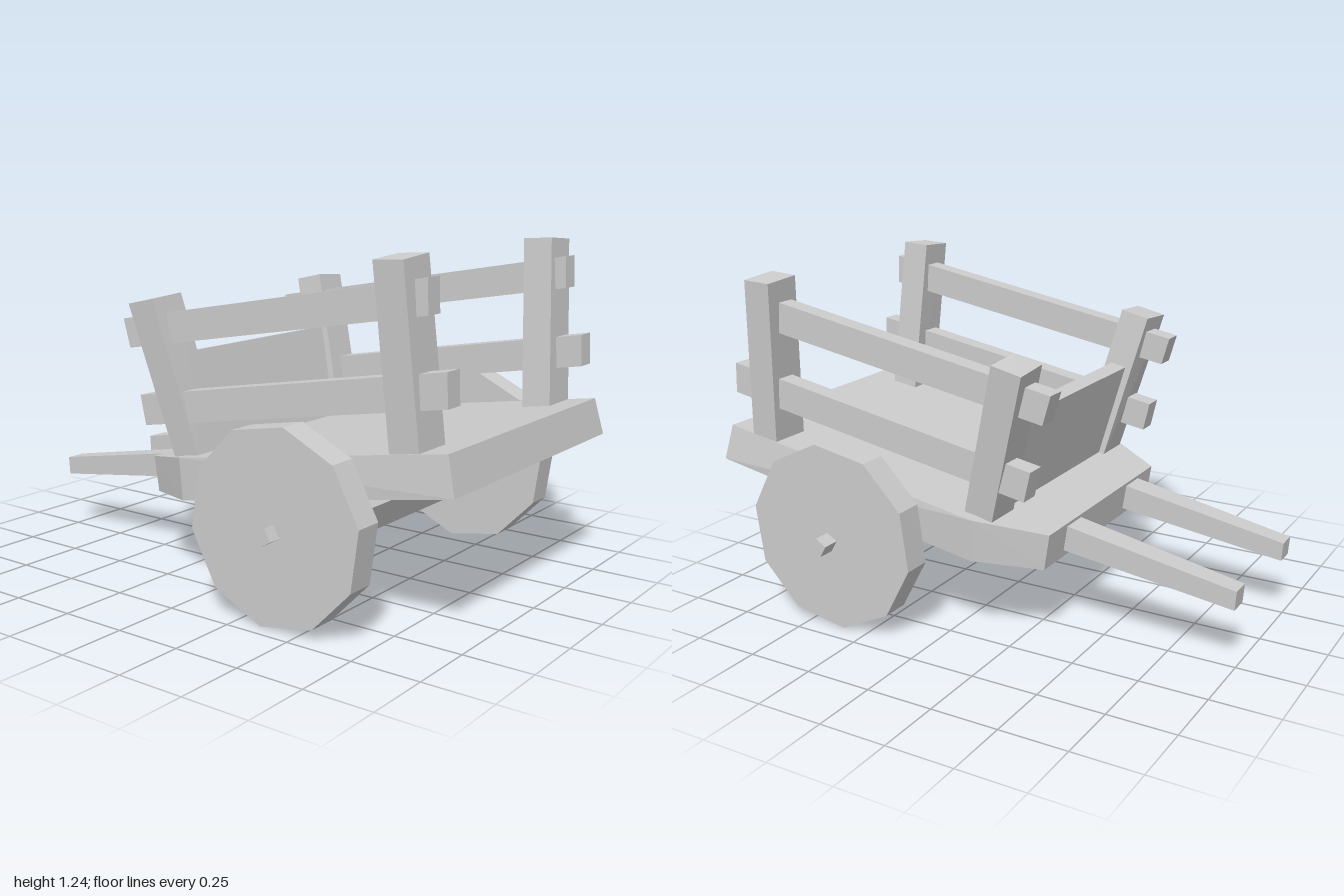
import * as THREE from 'three';
import { ConvexGeometry } from 'three/addons/geometries/ConvexGeometry.js';

const wood = new THREE.MeshStandardMaterial({ color: 0xcccccc });
wood.name = 'plain wood';

function add(parent, name, geometry) {
  const mesh = new THREE.Mesh(geometry, wood);
  mesh.name = name;
  parent.add(mesh);
  return mesh;
}

// Convex timber block from a list of [x, y, z] corners
const block = (corners) => new ConvexGeometry(corners.map((c) => new THREE.Vector3(...c)));

// Timber with a side outline [x, y] and its own z range at each corner
const timber = (outline, side = 1) =>
  block(outline.flatMap(([x, y, z0, z1]) => [[x, y, z0 * side], [x, y, z1 * side]]));

// Faceted prism lying along z
function prism(radius, length, sides, startDegrees) {
  const g = new THREE.CylinderGeometry(radius, radius, length, sides, 1, false,
    THREE.MathUtils.degToRad(startDegrees)).rotateX(Math.PI / 2).toNonIndexed();
  g.computeVertexNormals();
  return g;
}

export function createModel() {
  const cart = new THREE.Group();
  cart.name = 'handCart';

  // Sloping bed with chamfered corners at the shaft end
  add(cart, 'bed', timber([
    [-0.37, 0.428, -0.43, 0.43], [-0.35, 0.295, -0.43, 0.43],
    [-0.13, 0.482, -0.56, 0.555], [-0.12, 0.325, -0.55, 0.55],
    [0.96, 0.655, -0.535, 0.545], [0.99, 0.52, -0.555, 0.555],
  ]));

  // Board between the posts at the shaft end
  add(cart, 'endBoard', timber([
    [-0.255, 0.83, -0.41, 0.41], [-0.195, 0.842, -0.41, 0.41],
    [-0.10, 0.46, -0.40, 0.40], [-0.16, 0.45, -0.40, 0.40],
  ]));

  for (const side of [1, -1]) {
    const half = new THREE.Group();
    half.name = side > 0 ? 'frontSide' : 'backSide';
    cart.add(half);

    // Posts leaning outward
    add(half, 'shaftEndPost', block([
      [-0.34, 1.02, 0.575], [-0.225, 1.045, 0.575], [-0.335, 1.03, 0.425], [-0.225, 1.055, 0.425],
      [-0.18, 0.44, 0.51], [-0.07, 0.46, 0.51], [-0.18, 0.44, 0.36], [-0.07, 0.46, 0.36],
    ].map(([x, y, z]) => [x, y, z * side])));
    add(half, 'tailEndPost', block([
      [0.70, 1.23, 0.58], [0.81, 1.235, 0.58], [0.70, 1.24, 0.43], [0.81, 1.247, 0.43],
      [0.745, 0.59, 0.535], [0.855, 0.60, 0.535], [0.745, 0.59, 0.375], [0.855, 0.60, 0.375],
    ].map(([x, y, z]) => [x, y, z * side])));

    // Two rails running through the posts
    add(half, 'upperRail', timber([
      [-0.42, 0.955, 0.447, 0.522], [-0.39, 0.85, 0.447, 0.522],
      [0.86, 1.18, 0.45, 0.52], [0.865, 1.065, 0.45, 0.52],
    ], side));
    add(half, 'lowerRail', timber([
      [-0.345, 0.68, 0.447, 0.522], [-0.32, 0.57, 0.447, 0.522],
      [0.935, 0.90, 0.445, 0.52], [0.94, 0.785, 0.445, 0.52],
    ], side));

    // Tapered pulling shaft
    const c = side > 0 ? 0.25 : 0.24;
    add(half, 'shaft', timber([
      [-1, 0.30, c - 0.04, c + 0.038], [-0.995, 0.23, c - 0.04, c + 0.038],
      [-0.33, 0.422, c - 0.054, c + 0.054], [-0.33, 0.325, c - 0.054, c + 0.054],
    ], side));

    // Ten-sided solid wheel
    add(half, 'wheel', prism(0.348, 0.108, 10, -8))
      .position.set(0.397, 0.351, side > 0 ? 0.643 : -0.622);
  }

  // Six-sided axle housing under the bed
  add(cart, 'axleHousing', prism(0.122, 1.0, 6, 36)).position.set(0.398, 0.335, 0.01);

  // Square axle passing through both wheels
  const axle = add(cart, 'axle', new THREE.BoxGeometry(0.048, 0.05, 1.484));
  axle.position.set(0.398, 0.335, 0.002);
  axle.rotation.z = Math.PI / 6;

  return cart;
}
